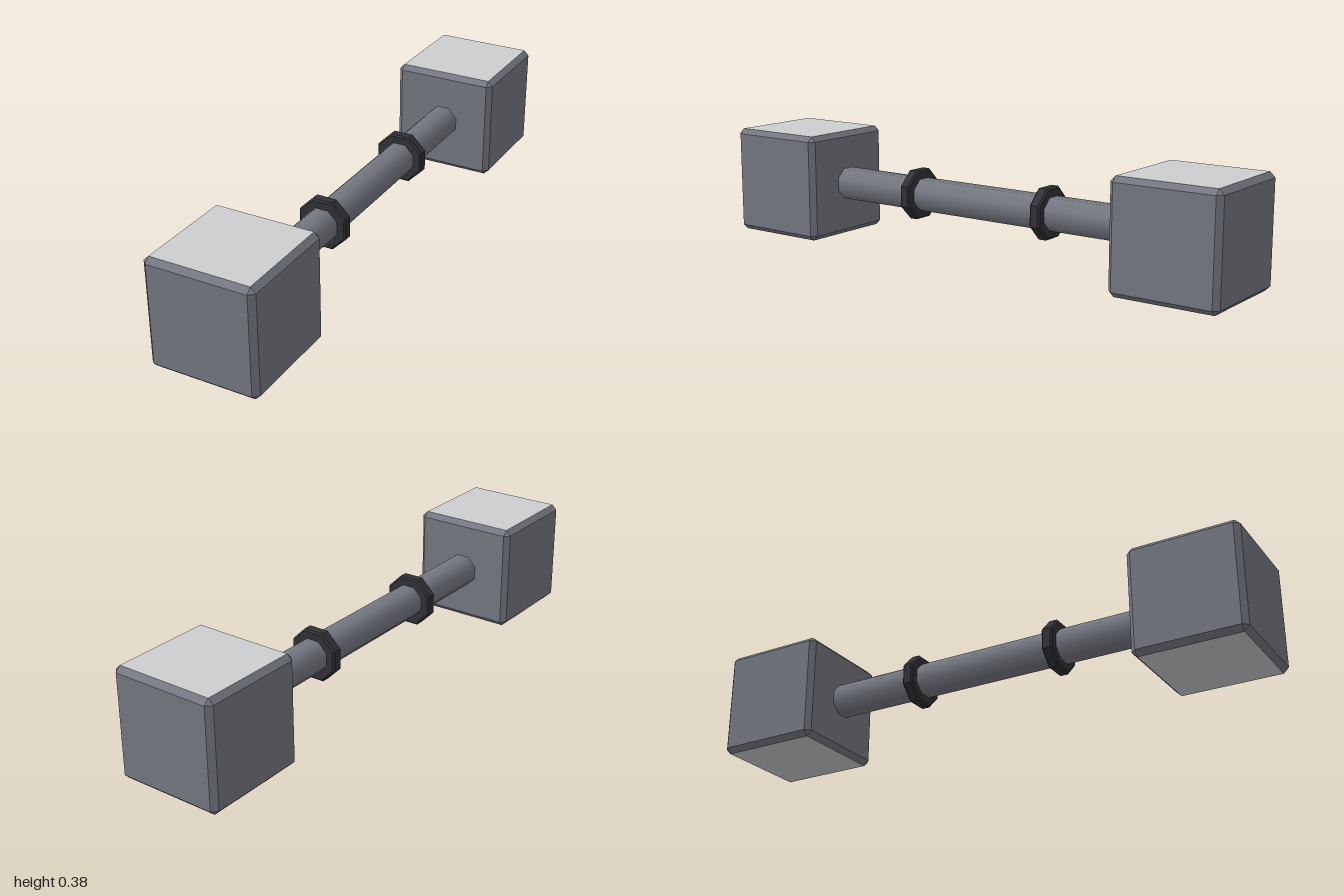
import * as THREE from 'three';
import { ConvexGeometry } from 'three/addons/geometries/ConvexGeometry.js';

const HALF = 0.1915;      // half the width of an end block
const BEVEL = 0.018;
const SIDES = 8;
const STEP = Math.PI / SIDES;
const corner = (apothem) => apothem / Math.cos(STEP);

// Cube with chamfered edges and corners; group 1 holds the top and bottom panels
function chamferedCube() {
  const inner = HALF - BEVEL;
  const points = [];
  for (const x of [-1, 1]) for (const y of [-1, 1]) for (const z of [-1, 1]) {
    points.push(
      new THREE.Vector3(x * HALF, y * inner, z * inner),
      new THREE.Vector3(x * inner, y * HALF, z * inner),
      new THREE.Vector3(x * inner, y * inner, z * HALF));
  }
  const geometry = new ConvexGeometry(points);
  const normals = geometry.getAttribute('normal');
  for (let i = 0; i < normals.count; i += 3) {
    geometry.addGroup(i, 3, Math.abs(normals.getY(i)) > 0.99 ? 1 : 0);
  }
  return geometry;
}

// Octagonal ring with slightly bevelled rims, lying along z
function collarGeometry() {
  const profile = [
    [0.05, -0.02], [0.081, -0.02], [0.087, -0.014],
    [0.087, 0.014], [0.081, 0.02], [0.05, 0.02],
  ].map(([r, y]) => new THREE.Vector2(corner(r), y));
  const geometry = new THREE.LatheGeometry(profile, SIDES, STEP).toNonIndexed();
  geometry.computeVertexNormals();
  return geometry.rotateX(Math.PI / 2);
}

export function createModel() {
  const model = new THREE.Group();
  model.name = 'dumbbell';

  const steel = new THREE.MeshStandardMaterial({ color: 0x757882 });
  steel.name = 'slate steel';
  const panel = new THREE.MeshStandardMaterial({ color: 0xcccecf });
  panel.name = 'light grey panel';
  const rubber = new THREE.MeshStandardMaterial({ color: 0x323237 });
  rubber.name = 'dark rubber';

  const add = (name, geometry, material, z) => {
    const mesh = new THREE.Mesh(geometry, material);
    mesh.name = name;
    mesh.position.set(0, HALF, z);
    model.add(mesh);
  };

  // Handle bar
  const r = corner(0.056);
  const bar = new THREE.CylinderGeometry(r, r, 1.26, SIDES, 1, false, STEP).rotateX(Math.PI / 2);
  add('handleBar', bar, steel, 0);

  // Matching collar and weight block at each end
  const cube = chamferedCube();
  const collar = collarGeometry();
  for (const [side, s] of [['front', 1], ['back', -1]]) {
    add(side + 'Block', cube, [steel, panel], s * (1 - HALF));
    add(side + 'Collar', collar, rubber, s * 0.276);
  }
  return model;
}
